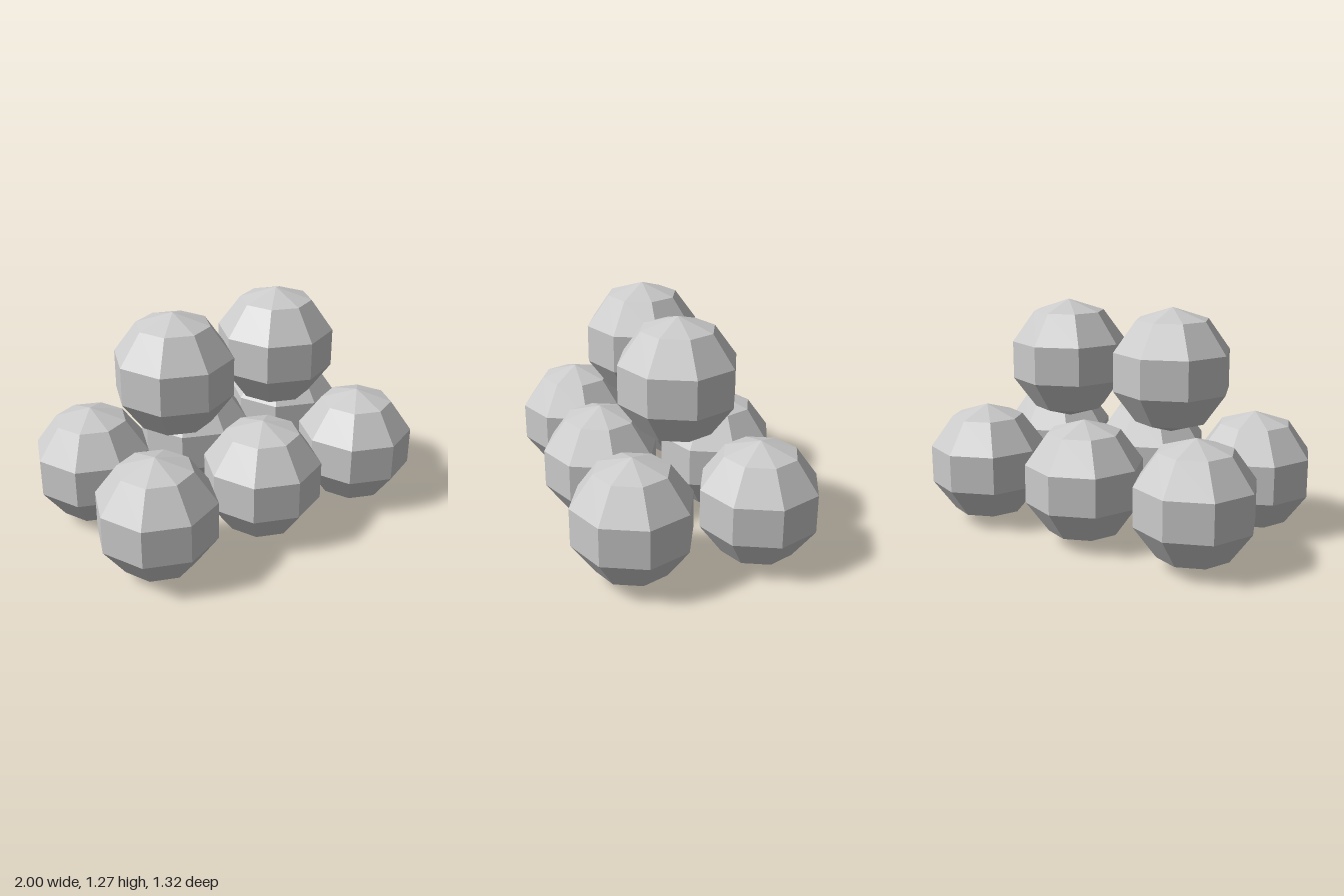
import * as THREE from 'three';

const RADIUS = 0.339;
const SPACING = RADIUS * 2;
const UPPER_Y = RADIUS + SPACING * Math.sqrt(3) / 2;

export function createModel() {
  const model = new THREE.Group();
  model.name = 'ballPile';

  // One faceted ball, eight sides around and five bands high
  const ball = new THREE.SphereGeometry(RADIUS, 8, 5);
  const material = new THREE.MeshStandardMaterial({ color: 0xcccccc, flatShading: true });

  const addBall = (name, x, y, z) => {
    const mesh = new THREE.Mesh(ball, material);
    mesh.name = name;
    mesh.position.set(x, y, z);
    model.add(mesh);
  };

  // Bottom layer: two rows of three
  for (const [row, z] of [['Front', RADIUS], ['Back', -RADIUS]]) {
    for (let i = -1; i <= 1; i++) {
      addBall(`lower${row}Ball${i + 2}`, i * SPACING, RADIUS, z);
    }
  }

  // Top layer: two balls resting in the hollows
  addBall('upperRightBall', -RADIUS, UPPER_Y, 0);
  addBall('upperLeftBall', RADIUS, UPPER_Y, 0);

  return model;
}
